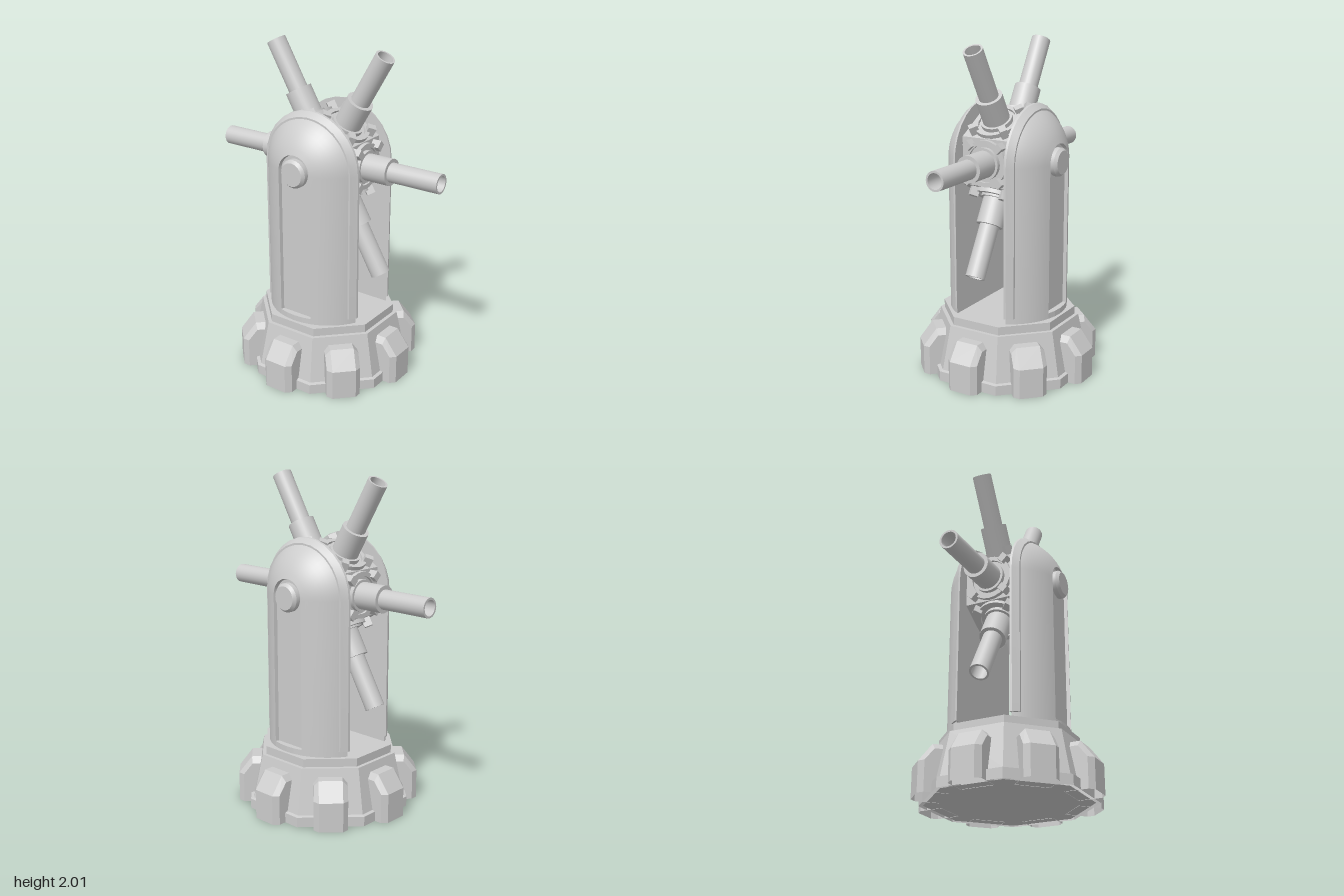
import * as THREE from 'three';
import { toCreasedNormals } from 'three/addons/utils/BufferGeometryUtils.js';
import { ConvexGeometry } from 'three/addons/geometries/ConvexGeometry.js';

const AXLE_Y = 1.32; // height of the rotor axis and of the pylon arch centres
const BODY_R = 0.36; // radius of the pylon column and dome

const smooth = new THREE.MeshStandardMaterial({ color: 0xcccccc });
const flat = new THREE.MeshStandardMaterial({ color: 0xcccccc, flatShading: true });
const shell = new THREE.MeshStandardMaterial({ color: 0xcccccc, flatShading: true, side: THREE.DoubleSide });

function add(parent, name, geometry, material = smooth) {
  const mesh = new THREE.Mesh(geometry, material);
  mesh.name = name;
  parent.add(mesh);
  return mesh;
}

function lathe(profile, segments, crease = 0.6) {
  const points = profile.map(([r, y]) => new THREE.Vector2(r, y));
  return toCreasedNormals(new THREE.LatheGeometry(points, segments), crease);
}

// Lofts round-topped arch outlines, each section being [x, arch radius]
function archLoft(sections, bottom, steps) {
  const positions = [], index = [], n = steps + 3;
  for (const [x, r] of sections) {
    positions.push(x, bottom, r);
    for (let i = 0; i <= steps; i++) {
      const a = (i / steps) * Math.PI;
      positions.push(x, AXLE_Y + r * Math.sin(a), r * Math.cos(a));
    }
    positions.push(x, bottom, -r);
  }
  const last = (sections.length - 1) * n;
  for (let s = 0; s < last; s += n) {
    for (let j = 0; j < n; j++) {
      const p = s + j, p2 = s + (j + 1) % n;
      index.push(p, p + n, p2, p + n, p2 + n, p2);
    }
  }
  for (let k = 1; k < n - 1; k++) {
    index.push(0, k, k + 1, last, last + k + 1, last + k);
  }
  const g = new THREE.BufferGeometry();
  g.setAttribute('position', new THREE.Float32BufferAttribute(positions, 3));
  g.setIndex(index);
  return toCreasedNormals(g, 0.45);
}

// Chamfered block, open underneath
function blockGeometry() {
  const corners = [];
  for (const s of [-1, 1]) {
    for (const [w, y, r] of [
      [0.1, 0, 0.38], [0.1, 0.25, 0.38], [0.07, 0.285, 0.38],
      [0.1, 0.25, 0.465], [0.07, 0.285, 0.47],
      [0.1, 0, 0.52], [0.1, 0.18, 0.52], [0.07, 0, 0.55], [0.07, 0.18, 0.55],
    ]) corners.push(new THREE.Vector3(s * w, y, r));
  }
  const hull = new ConvexGeometry(corners).attributes.position.array;
  const open = [];
  for (let i = 0; i < hull.length; i += 9) {
    const isBottom = Math.max(hull[i + 1], hull[i + 4], hull[i + 7]) < 0.001;
    if (!isBottom) open.push(...hull.subarray(i, i + 9));
  }
  const g = new THREE.BufferGeometry();
  g.setAttribute('position', new THREE.Float32BufferAttribute(open, 3));
  g.computeVertexNormals();
  return g;
}

// Octagonal base with a lip, sloping sides and a top plate, ringed by blocks
function createBase() {
  const base = new THREE.Group();
  base.name = 'base';
  const k = 1 / Math.cos(Math.PI / 8);
  const profile = [[0.475, 0], [0.475, 0.06], [0.455, 0.065], [0.4, 0.335],
    [0.378, 0.335], [0.378, 0.385], [0, 0.385]].map(([r, y]) => [r * k, y]);
  add(base, 'basePlinth', lathe(profile, 8, 0.1), shell).rotation.y = Math.PI / 8;

  const floor = add(base, 'baseFloor', new THREE.CircleGeometry(0.45 * k, 8, Math.PI / 8), flat);
  floor.rotation.x = Math.PI / 2;
  floor.position.y = 0.002;

  const block = blockGeometry();
  for (let i = 0; i < 8; i++) add(base, 'baseBlock', block, shell).rotation.y = i * Math.PI / 4;
  return base;
}

// Upright half column with a domed top, sunken outer panel and axle cap
function createPylon() {
  const pylon = new THREE.Group();
  const sections = [];
  const a0 = Math.asin(0.17 / BODY_R), a1 = Math.asin(0.343 / BODY_R);
  for (let i = 0; i <= 8; i++) {
    const a = a0 + (a1 - a0) * i / 8;
    sections.push([BODY_R * Math.sin(a), BODY_R * Math.cos(a)]);
  }
  sections.push([0.322, 0.104]); // panel sunk into the column
  add(pylon, 'pylonBody', archLoft(sections, 0.385, 24));
  add(pylon, 'pylonRim', archLoft([[0.165, 0.33], [0.178, 0.328], [0.215, 0.3]], 0.42, 14));

  // Ledge that closes the foot of the panel
  const ledge = [];
  for (const y of [0.385, 0.42]) {
    for (let i = -2; i <= 2; i++) {
      const a = i * 0.155;
      ledge.push(new THREE.Vector3(BODY_R * Math.cos(a), y, BODY_R * Math.sin(a)));
    }
    ledge.push(new THREE.Vector3(0.31, y, 0.1), new THREE.Vector3(0.31, y, -0.1));
  }
  add(pylon, 'panelLedge', new ConvexGeometry(ledge));

  const cap = add(pylon, 'axleCap',
    lathe([[0.085, 0.315], [0.085, 0.35], [0.07, 0.368], [0, 0.368]], 24));
  cap.position.y = AXLE_Y;
  cap.rotation.z = -Math.PI / 2;
  return pylon;
}

// One barrel with sleeve, collar rings and four lugs, pointing along +y
function createBarrel() {
  const barrel = new THREE.Group();
  barrel.name = 'barrel';
  add(barrel, 'barrelTube', lathe([[0.08, 0.23], [0.08, 0.44], [0.058, 0.44], [0.058, 0.76],
    [0.046, 0.76], [0.046, 0.46], [0, 0.46]], 24));
  add(barrel, 'collar', lathe([[0.138, 0.235], [0.138, 0.27], [0.112, 0.27],
    [0.112, 0.255], [0.095, 0.255], [0.095, 0.28], [0.07, 0.28]], 24));
  const lugGeometry = new THREE.BoxGeometry(0.042, 0.065, 0.05);
  for (let i = 0; i < 4; i++) {
    const a = Math.PI / 4 + i * Math.PI / 2;
    const lug = add(barrel, 'collarLug', lugGeometry);
    lug.position.set(0.143 * Math.sin(a), 0.267, 0.143 * Math.cos(a));
    lug.rotation.y = a;
  }
  return barrel;
}

// Hexagonal hub with six barrels around the x axis
function createRotor() {
  const rotor = new THREE.Group();
  rotor.name = 'rotor';
  rotor.position.y = AXLE_Y;
  const hubGeometry = new THREE.CylinderGeometry(0.283, 0.283, 0.332, 6);
  hubGeometry.rotateY(Math.PI / 6); // one flat face behind each barrel
  add(rotor, 'hub', hubGeometry, flat).rotation.z = Math.PI / 2;
  for (let i = 0; i < 6; i++) {
    const barrel = createBarrel();
    barrel.rotation.x = Math.PI / 2 + i * Math.PI / 3;
    rotor.add(barrel);
  }
  return rotor;
}

export function createModel() {
  const model = new THREE.Group();
  model.name = 'rotaryTurret';
  const left = createPylon();
  left.name = 'leftPylon';
  const right = createPylon();
  right.name = 'rightPylon';
  right.rotation.y = Math.PI;
  model.add(createBase(), left, right, createRotor());
  return model;
}
